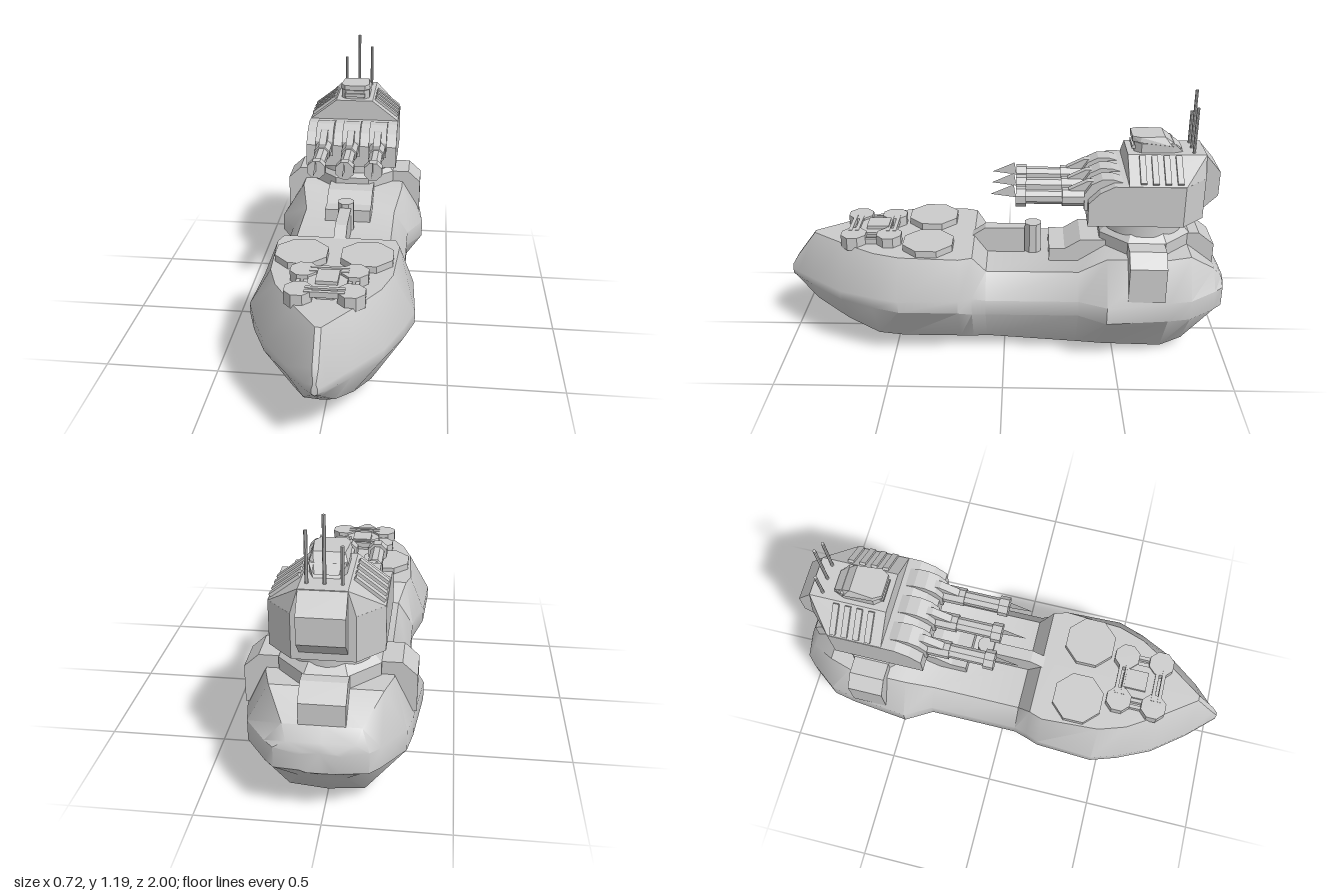
import * as THREE from 'three';
import { toCreasedNormals } from 'three/addons/utils/BufferGeometryUtils.js';
import { ConvexGeometry } from 'three/addons/geometries/ConvexGeometry.js';

const smooth = new THREE.MeshStandardMaterial({ color: 0xcccccc });
const flat = new THREE.MeshStandardMaterial({ color: 0xcccccc, flatShading: true });
const thin = new THREE.MeshStandardMaterial({ color: 0xcccccc, side: THREE.DoubleSide });

export function createModel() {
  const root = new THREE.Group();
  root.name = 'gunboat';

  function add(name, geo, x = 0, y = 0, z = 0, mat = flat, parent = root) {
    const m = new THREE.Mesh(geo, mat);
    m.name = name;
    m.position.set(x, y, z);
    parent.add(m);
    return m;
  }
  const box = (w, h, d) => new THREE.BoxGeometry(w, h, d);
  // Eight-sided drum with flats facing the axes; r is the distance to a flat
  const octagon = (rTop, h, rBottom = rTop) =>
    new THREE.CylinderGeometry(rTop / Math.cos(Math.PI / 8), rBottom / Math.cos(Math.PI / 8), h, 8).rotateY(Math.PI / 8);
  // Side profile of [z, y] points, extruded across x
  function sideProfile(points, width) {
    const shape = new THREE.Shape(points.map(([z, y]) => new THREE.Vector2(z, y)));
    return new THREE.ExtrudeGeometry(shape, { depth: width, bevelEnabled: false })
      .translate(0, 0, -width / 2).rotateY(-Math.PI / 2);
  }
  // Convex block from right-hand points, mirrored in x
  const mirroredHull = (points) => new ConvexGeometry(points.flatMap(([x, y, z]) =>
    [new THREE.Vector3(x, y, z), new THREE.Vector3(-x, y, z)]));

  // Hull stations: z, deck half-width, deck y, beam, upper beam y, lower beam y, chine x, chine y, keel y
  const stations = [
    [1.00, .006, .33, .012, .31, .29, .008, .285, .28],
    [.97, .012, .38, .04, .31, .285, .02, .26, .255],
    [.88, .012, .50, .125, .32, .285, .06, .18, .175],
    [.73, .12, .50, .24, .32, .28, .12, .11, .10],
    [.58, .215, .50, .31, .33, .28, .18, .07, .05],
    [.46, .255, .50, .35, .33, .28, .20, .07, .05],
    [.20, .27, .50, .335, .33, .27, .20, .07, .052],
    [.14, .25, .50, .31, .33, .25, .20, .07, .055],
    [.08, .22, .42, .29, .31, .24, .19, .068, .055],
    [-.33, .22, .42, .29, .31, .24, .18, .035, .008],
    [-.45, .25, .50, .36, .32, .24, .18, .026, .004],
    [-.72, .25, .50, .33, .33, .24, .18, .02, 0],
    [-.82, .22, .50, .31, .33, .24, .15, .045, .03],
    [-.94, .15, .41, .22, .33, .24, .09, .18, .17],
    [-.98, .13, .36, .18, .33, .24, .07, .225, .22],
    [-1.0, .06, .33, .08, .32, .25, .05, .24, .24],
  ];
  const pos = [], idx = [], N = 10;
  for (const [z, xd, yd, xb, yu, yl, xc, yc, k] of stations) {
    const half = [[xd, yd], [xb, yu], [xb, yl], [xc, yc]];
    const ring = [[0, yd], ...half, [0, k], ...half.map(([x, y]) => [-x, y]).reverse()];
    ring.forEach(([x, y]) => pos.push(x, y, z));
  }
  for (let i = 0; i < stations.length - 1; i++) {
    for (let j = 0; j < N; j++) {
      const a = i * N + j, b = i * N + (j + 1) % N;
      idx.push(a, b, a + N, b, b + N, a + N);
    }
  }
  const last = (stations.length - 1) * N;
  for (let j = 1; j < N - 1; j++) {
    idx.push(0, j + 1, j);
    idx.push(last, last + j, last + j + 1);
  }
  const hull = new THREE.BufferGeometry();
  hull.setAttribute('position', new THREE.Float32BufferAttribute(pos, 3));
  hull.setIndex(idx);
  add('hull', toCreasedNormals(hull, 0.6), 0, 0, 0, smooth);

  // Foredeck hatches and the linked cluster of drums
  for (const s of [-1, 1]) {
    add('largeHatch', octagon(.11, .05), s * .14, .505, .34);
    for (const z of [.52, .68]) add('clusterDrum', octagon(.055, .06), s * .105, .515, z);
    for (const o of [-.015, .015]) {
      add('lengthwisePipe', box(.016, .025, .14), s * .105 + o, .515, .6);
      add('crossPipe', box(.16, .025, .016), 0, .535, .6 + s * .085 + o);
    }
  }
  add('clusterHub', octagon(.08, .04), 0, .515, .6);
  add('clusterCap', box(.09, .015, .1), 0, .545, .58);

  // Waist deck: spine fin, post and equipment housing
  add('deckFin', sideProfile([[.15, .41], [.15, .5], [.09, .54], [-.09, .54], [-.09, .41]], .055));
  add('deckPost', octagon(.037, .15), 0, .485, -.127);
  add('deckHousing', sideProfile([[-.2, .41], [-.2, .48], [-.27, .48], [-.34, .525], [-.46, .525], [-.46, .41]], .22));

  // Barbette under the turret
  add('barbette', octagon(.2, .1), 0, .505, -.625);
  add('barbetteSlope', octagon(.15, .055, .2), 0, .5825, -.625);
  add('turretRing', toCreasedNormals(new THREE.CylinderGeometry(.185, .185, .075, 32), .6), 0, .615, -.62, smooth);

  // Chamfered lockers on the sides and stern of the hull
  for (const s of [-1, 1]) {
    const locker = sideProfile([[0, .34], [.14, .34], [.14, .5], [.08, .555], [0, .555]], .16);
    add('sideLocker', locker.rotateY(s * Math.PI / 2), s * .2, 0, -.62);
  }
  add('sternLocker', sideProfile([[-.8, .34], [-.8, .555], [-.87, .555], [-.94, .5], [-.94, .36]], .18));

  // Turret
  const turret = new THREE.Group();
  turret.name = 'turret';
  root.add(turret);
  const t = (name, geo, x, y, z, mat) => add(name, geo, x, y, z, mat, turret);
  const plan = [[.22, -.77], [.12, -.87]];
  t('turretBody', mirroredHull([
    [.22, .645, -.36], [.22, .75, -.36], [.22, .80, -.41], [.22, .83, -.47],
    ...plan.flatMap(([x, z]) => [[x, .645, z], [x, .83, z]]),
  ]));
  t('turretRoof', mirroredHull([
    [.22, .828, -.53], [.09, .928, -.53], [.09, .928, -.87], ...plan.map(([x, z]) => [x, .828, z]),
  ]));
  t('turretBustle', sideProfile([[-.8, .68], [-.8, .925], [-.87, .925], [-.935, .85], [-.935, .74], [-.87, .675]], .18));

  // Roof ribs on both slopes
  for (const s of [-1, 1]) {
    for (let i = 0; i < 4; i++) {
      t('roofRib', box(.14, .022, .026), s * .155, .88, -.59 - i * .052).rotation.z = -s * .655;
    }
  }

  // Command cupola with a viewing slit
  t('cupola', mirroredHull([
    [.045, .92, -.56], [.07, .92, -.59], [.07, .92, -.72], [.045, .92, -.78],
    [.045, .97, -.56], [.07, .97, -.59], [.07, .97, -.73],
  ]));
  t('cupolaHood', mirroredHull([
    [.05, .975, -.55], [.074, .975, -.585], [.074, .96, -.72], [.045, .94, -.77],
    [.05, .998, -.55], [.07, .998, -.585], [.06, .998, -.69], [.04, .94, -.77],
  ]));
  t('cupolaSill', box(.1, .016, .04), 0, .948, -.57);

  // Antennas
  for (const [x, top] of [[-.065, 1.075], [0, 1.19], [.065, 1.13]]) {
    t('antenna', new THREE.CylinderGeometry(.007, .007, top - .9, 8), x, (top + .9) / 2, -.818);
  }

  // Three guns, each with a rounded mantlet, elevating arm, barrel and sight blade
  for (const x of [-.13, 0, .13]) {
    const gun = new THREE.Group();
    gun.name = 'gun';
    gun.position.x = x;
    turret.add(gun);
    const g = (name, geo, y = 0, z = 0, mat = flat) => add(name, geo, 0, y, z, mat, gun);
    const tube = (r, len) => octagon(r, len).rotateX(Math.PI / 2);
    g('mantlet', sideProfile([[-.54, .7], [-.345, .7], [-.345, .775], [-.375, .82], [-.42, .842], [-.47, .842], [-.54, .82]], .085));
    g('elevatingArm', sideProfile([[-.42, .74], [-.25, .74], [-.28, .785], [-.36, .825], [-.42, .825]], .034));
    g('barrelCollar', tube(.037, .12), .745, -.31);
    g('barrel', tube(.03, .25), .745, -.2);
    g('muzzle', tube(.041, .045), .745, -.072);
    const blade = new THREE.Shape([[-.05, .74], [.06, .755], [-.04, .8]].map(([a, b]) => new THREE.Vector2(a, b)));
    g('sightBlade', new THREE.ShapeGeometry(blade).rotateY(-Math.PI / 2), 0, 0, thin);
  }

  return root;
}
